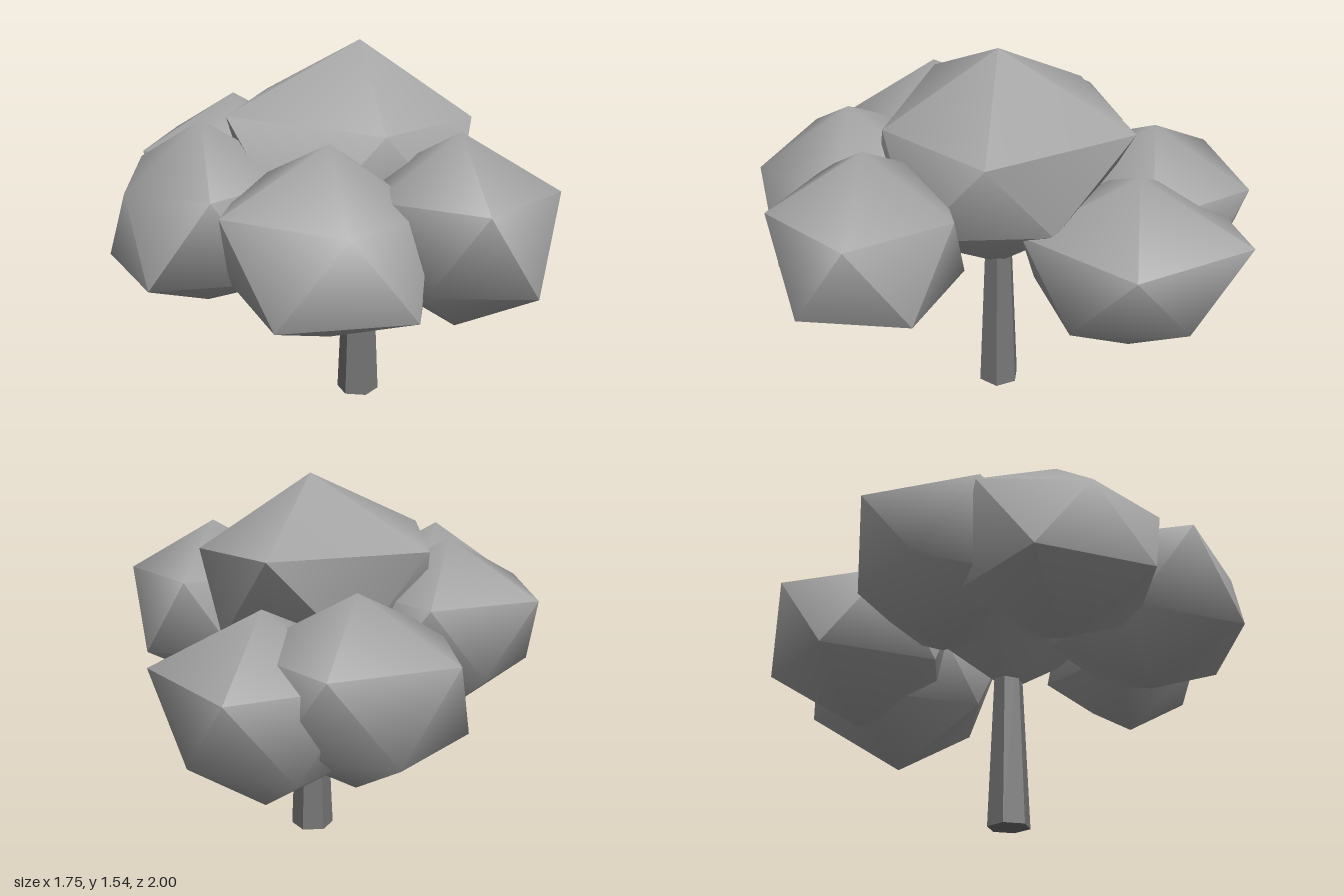
import * as THREE from 'three';
import { toCreasedNormals } from 'three/addons/utils/BufferGeometryUtils.js';
import { ConvexGeometry } from 'three/addons/geometries/ConvexGeometry.js';

const leafMaterial = new THREE.MeshStandardMaterial({ color: 0xa6a6a6 });
leafMaterial.name = 'foliage grey';
const barkMaterial = new THREE.MeshStandardMaterial({ color: 0x767676 });
barkMaterial.name = 'bark grey';

// Twelve-point ball with poles up and down; pull maps a point's index to a radial scale.
// Indices: 0 top, 1-5 upper ring (0, 72.. degrees), 6-10 lower ring (36, 108..), 11 bottom.
function foliageBall({ name, at, size, pull, crease = 1.27 }) {
  const points = [new THREE.Vector3(0, 1, 0)];
  for (const [height, start] of [[0.447, 0], [-0.447, 36]]) {
    for (let i = 0; i < 5; i++) {
      const a = THREE.MathUtils.degToRad(start + i * 72);
      points.push(new THREE.Vector3(Math.cos(a) * 0.894, height, Math.sin(a) * 0.894));
    }
  }
  points.push(new THREE.Vector3(0, -1, 0));
  points.forEach((p, i) => p.multiplyScalar(pull[i] ?? 1).multiply(new THREE.Vector3(...size)));
  const geometry = toCreasedNormals(new ConvexGeometry(points), crease);
  const mesh = new THREE.Mesh(geometry, leafMaterial);
  mesh.name = name;
  mesh.position.set(...at);
  return mesh;
}

export function createModel() {
  const tree = new THREE.Group();
  tree.name = 'tree';

  // Tapered six-sided trunk
  const trunkGeometry = new THREE.CylinderGeometry(0.055, 0.09, 0.8, 6).rotateY(Math.PI / 6);
  const trunk = new THREE.Mesh(toCreasedNormals(trunkGeometry, 0.5), barkMaterial);
  trunk.name = 'trunk';
  trunk.position.set(0.09, 0.4, 0);
  tree.add(trunk);

  // Crown: one large ball ringed by six smaller ones
  const balls = [
    { name: 'crownTop', at: [0.09, 1.08, 0], size: [0.66, 0.46, 0.63], crease: 0.87,
      pull: { 1: 0.77, 2: 0.81, 4: 0.93, 6: 0.85, 8: 0.8, 9: 0.8, 10: 0.75, 11: 1.06 } },
    { name: 'crownFront', at: [0.05, 0.87, 0.61], size: [0.48, 0.39, 0.46], pull: { 1: 0.84, 2: 0.9, 8: 0.88, 11: 0.9 } },
    { name: 'crownFrontLeft', at: [0.51, 0.9, 0.45], size: [0.41, 0.38, 0.41], pull: { 7: 0.88 } },
    { name: 'crownFrontRight', at: [-0.48, 0.885, 0.35], size: [0.445, 0.39, 0.445], pull: { 3: 0.8, 11: 0.9 } },
    { name: 'crownBackRight', at: [-0.46, 0.92, -0.11], size: [0.455, 0.37, 0.455], pull: { 4: 0.97, 8: 0.84, 9: 0.82 } },
    { name: 'crownRear', at: [-0.05, 0.815, -0.62], size: [0.47, 0.375, 0.45], pull: { 9: 0.94, 10: 0.88 } },
    { name: 'crownBackLeft', at: [0.29, 0.735, -0.56], size: [0.47, 0.385, 0.515],
      pull: { 6: 0.87, 7: 0.92, 9: 0.86, 10: 0.8 } },
  ];
  balls.forEach((ball) => tree.add(foliageBall(ball)));
  return tree;
}
